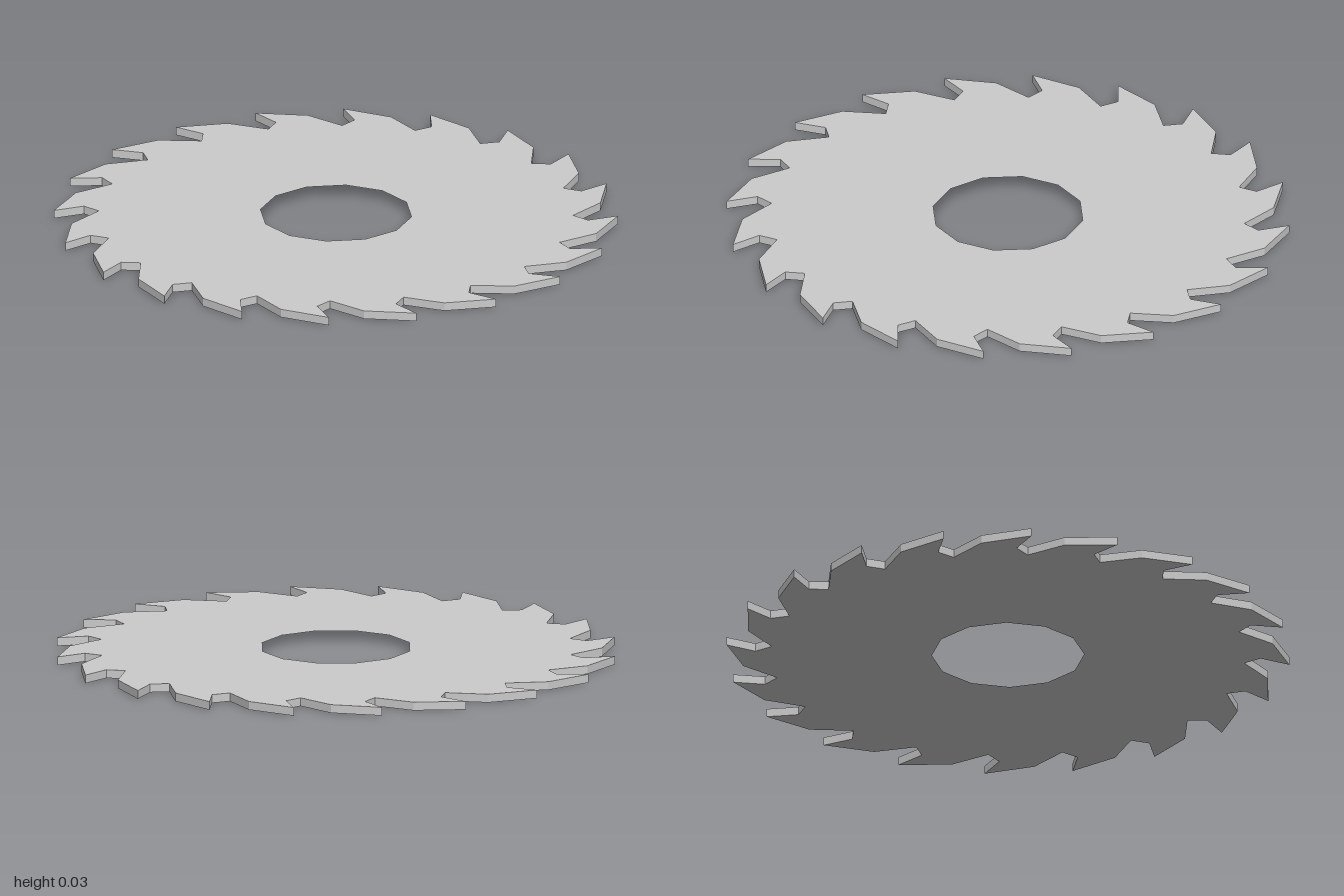
import * as THREE from 'three';

const TEETH = 20;
const THICKNESS = 0.03;

// Point at radius r, measured clockwise in degrees from the back of the disc
function polar(r, degrees) {
  const a = THREE.MathUtils.degToRad(degrees);
  return new THREE.Vector2(r * Math.sin(a), r * Math.cos(a));
}

export function createModel() {
  const group = new THREE.Group();
  group.name = 'circularSawBlade';

  // Each tooth: gullet root, undercut face, tip, sloping back
  const tooth = [[0.84, 0], [0.895, 2.8], [1, 0], [0.942, 10.5]];
  const outline = [];
  for (let i = 0; i < TEETH; i++) {
    for (const [r, angle] of tooth) outline.push(polar(r, angle + (i * 360) / TEETH));
  }
  const shape = new THREE.Shape(outline);

  // Twelve-sided arbor hole
  const hole = [];
  for (let i = 0; i < 12; i++) hole.push(polar(0.27, i * 30));
  shape.holes.push(new THREE.Path(hole));

  // Flat blade lying on the ground
  const geometry = new THREE.ExtrudeGeometry(shape, { depth: THICKNESS, bevelEnabled: false });
  geometry.rotateX(-Math.PI / 2);
  const blade = new THREE.Mesh(
    geometry,
    new THREE.MeshStandardMaterial({ color: 0xcccccc, flatShading: true })
  );
  blade.name = 'toothedBlade';
  group.add(blade);

  return group;
}
